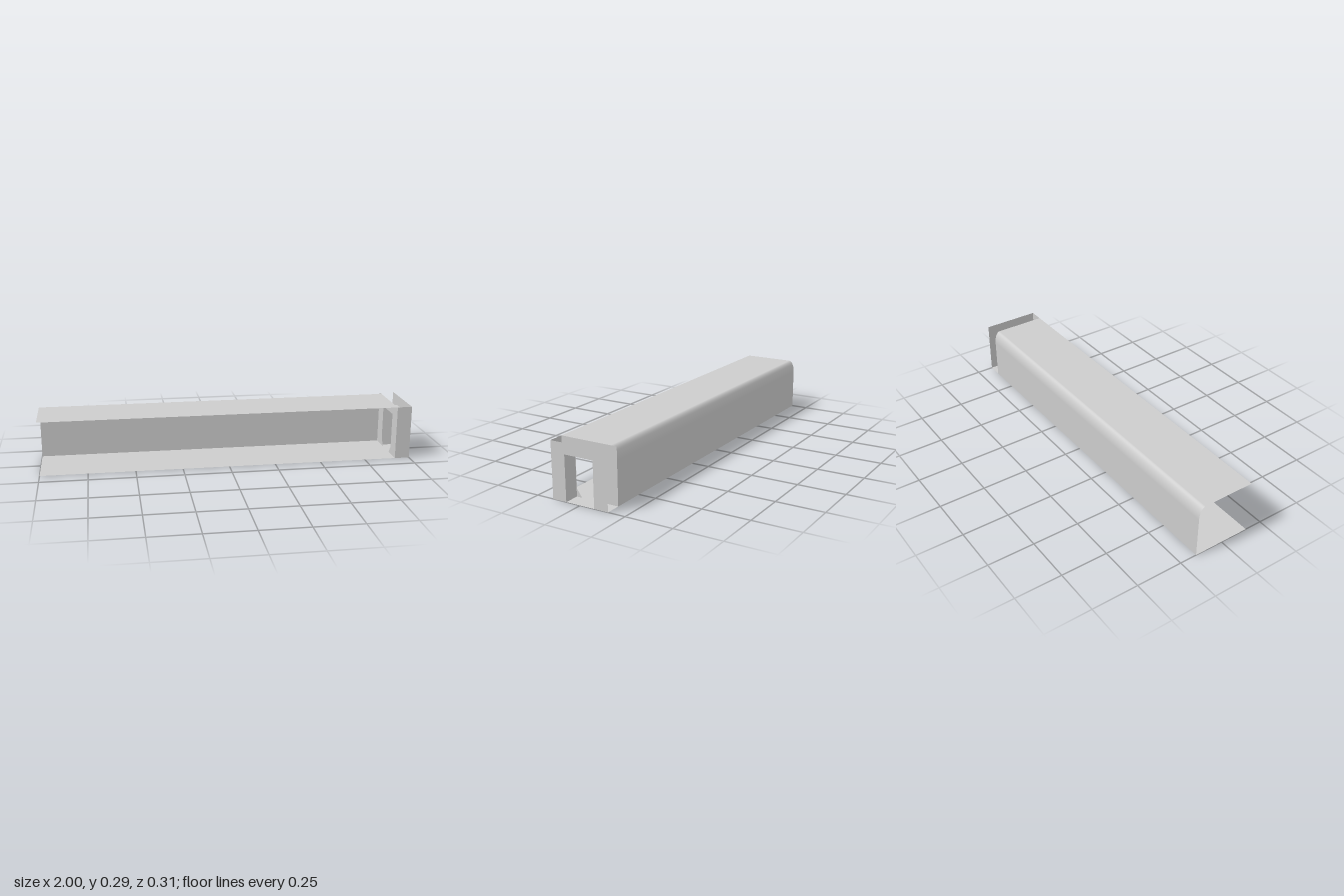
import * as THREE from 'three';

const H = 0.29, D = 0.157;         // height and half depth
const X0 = -1, X1 = 0.92, X2 = 1;  // open end, inner panel, outer panel

export function createModel() {
  const model = new THREE.Group();
  const grey = new THREE.MeshStandardMaterial({ color: 0xcccccc, side: THREE.DoubleSide });
  grey.name = 'light grey';

  const add = (name, geometry) => {
    const mesh = new THREE.Mesh(geometry, grey);
    mesh.name = name;
    model.add(mesh);
  };

  // Thin sheet: a line of [z, y] points swept along x from xa to xb
  const sheet = (name, points, xa, xb, normals) => {
    const pos = [], nor = [], idx = [];
    points.forEach(([z, y], i) => {
      pos.push(xa, y, z, xb, y, z);
      if (normals) nor.push(0, normals[i][1], normals[i][0], 0, normals[i][1], normals[i][0]);
      if (i) {
        const a = 2 * i - 2;
        idx.push(a, a + 1, a + 2, a + 1, a + 3, a + 2);
      }
    });
    const g = new THREE.BufferGeometry();
    g.setAttribute('position', new THREE.Float32BufferAttribute(pos, 3));
    g.setIndex(idx);
    if (normals) g.setAttribute('normal', new THREE.Float32BufferAttribute(nor, 3));
    else g.computeVertexNormals();
    add(name, g);
  };

  // Flat panel facing +x, outlined by [z, y] points
  const panel = (name, outline, x) => {
    const shape = new THREE.Shape(outline.map(([z, y]) => new THREE.Vector2(-z, y)));
    const g = new THREE.ShapeGeometry(shape);
    g.rotateY(Math.PI / 2);
    g.translate(x, 0, 0);
    add(name, g);
  };

  // Long channel: floor, back wall, rounded upper corner and top, open at the front
  const RZ = 0.033, RY = 0.067;
  sheet('floor', [[-D, 0], [D, 0]], X0, X2);
  sheet('backWall', [[-D, H - RY], [-D, 0]], X0, X1);
  sheet('topSheet', [[D, H], [-D + RZ, H]], X0, X1);
  const arc = [], arcNormals = [];
  for (let i = 0; i <= 16; i++) {
    const t = (i / 16) * Math.PI / 2, s = Math.sin(t), c = Math.cos(t);
    arc.push([-D + RZ - RZ * s, H - RY + RY * c]);
    const n = new THREE.Vector2(-s / RZ, c / RY).normalize();
    arcNormals.push([n.x, n.y]);
  }
  sheet('roundedCorner', arc, X0, X1, arcNormals);

  // End section: front plate and two panels, with the top and back left open
  sheet('endFrontPlate', [[D, 0], [D, H]], X1, X2);
  const W = 0.08, T = 0.234;
  const arch = [[-D, 0], [-D, H], [D, H], [D, 0]];
  panel('outerEndPanel', [...arch, [W, 0], [W, T], [-W, T], [-W, 0]], X2);
  panel('innerEndPanel', [...arch, [0.05, 0], [0.078, 0.041], [0.078, 0.23],
    [-0.078, 0.23], [-0.078, 0.041], [-0.05, 0]], X1);

  // Tunnel joining the two openings
  sheet('tunnelFrontWall', [[W, 0], [W, T]], X1, X2);
  sheet('tunnelCeiling', [[W, T], [-W, T]], X1, X2);
  sheet('tunnelBackWall', [[-W, T], [-W, 0]], X1, X2);

  return model;
}
